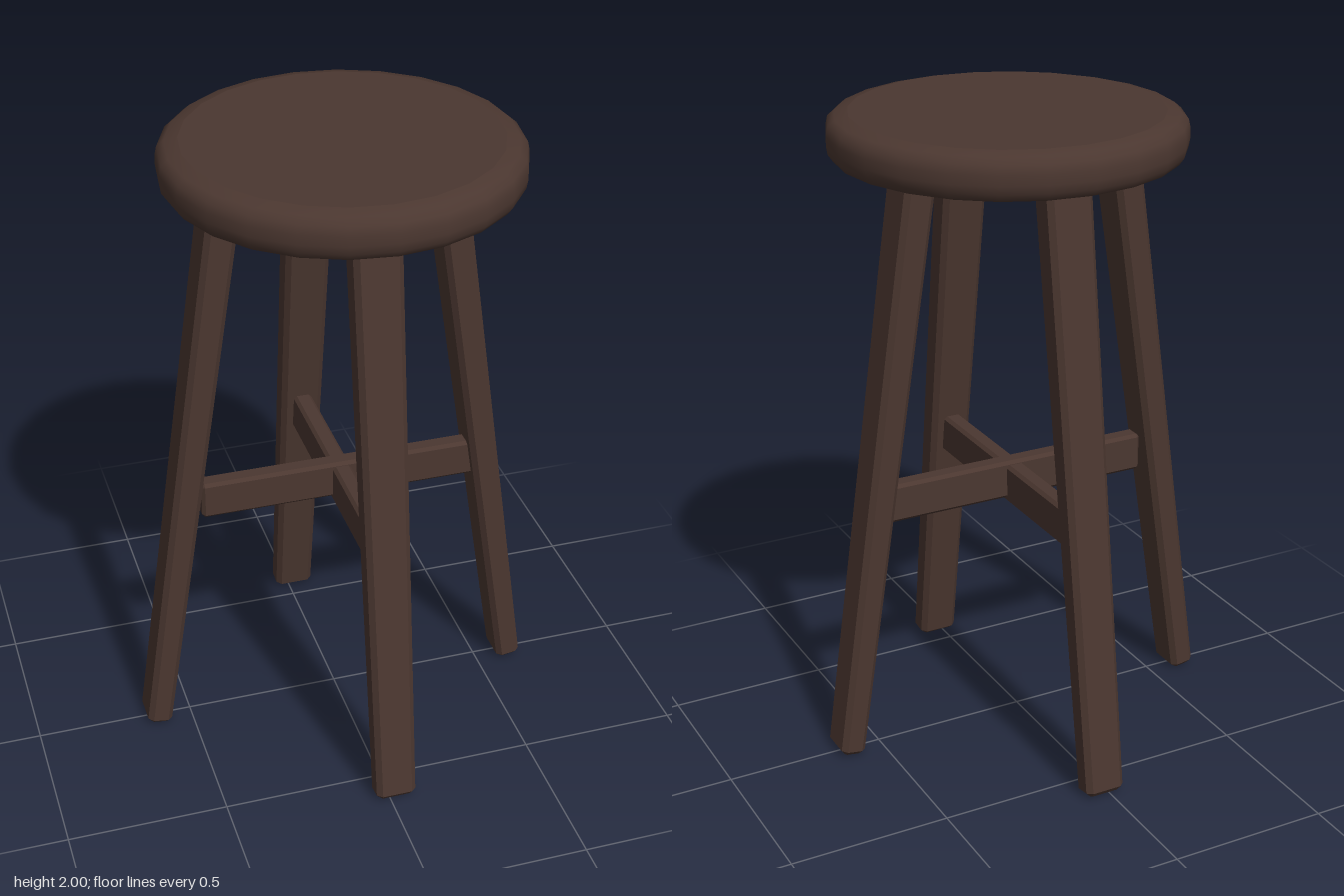
import * as THREE from 'three';

// Bar along +y with eight-sided chamfered section, tapering from w0 x d0 to w1 x d1
function chamferedBar(length, w0, d0, w1, d1, c) {
  const rings = [
    [0, w0 - 2 * c, d0 - 2 * c, c * 0.3],
    [c, w0, d0, c],
    [length - c, w1, d1, c],
    [length, w1 - 2 * c, d1 - 2 * c, c * 0.3],
  ];
  const pos = [];
  const index = [];
  for (const [y, w, d, k] of rings) {
    const a = w / 2, b = d / 2;
    const outline = [
      [a, b - k], [a - k, b], [-a + k, b], [-a, b - k],
      [-a, -b + k], [-a + k, -b], [a - k, -b], [a, -b + k],
    ];
    for (const [x, z] of outline) pos.push(x, y, z);
  }
  for (let r = 0; r < rings.length - 1; r++) {
    for (let i = 0; i < 8; i++) {
      const p = r * 8 + i, q = r * 8 + (i + 1) % 8;
      index.push(p, p + 8, q, q, p + 8, q + 8);
    }
  }
  const last = (rings.length - 1) * 8;
  for (let i = 1; i < 7; i++) {
    index.push(0, i, i + 1);
    index.push(last, last + i + 1, last + i);
  }
  const geo = new THREE.BufferGeometry();
  geo.setAttribute('position', new THREE.Float32BufferAttribute(pos, 3));
  geo.setIndex(index);
  const flat = geo.toNonIndexed();
  flat.computeVertexNormals();
  return flat;
}

export function createModel() {
  const model = new THREE.Group();
  model.name = 'stool';
  const wood = new THREE.MeshStandardMaterial({ color: 0x4b3730 });
  wood.name = 'dark brown wood';

  const add = (name, geo, x, y, z) => {
    const mesh = new THREE.Mesh(geo, wood);
    mesh.name = name;
    mesh.position.set(x, y, z);
    model.add(mesh);
    return mesh;
  };

  // Round seat: rounded rim between flat top and bottom discs
  const profile = [
    [0.492, 1.86], [0.518, 1.869], [0.533, 1.89], [0.537, 1.915],
    [0.537, 1.945], [0.531, 1.972], [0.51, 1.99], [0.47, 2.0],
  ].map(([r, y]) => new THREE.Vector2(r, y));
  const seat = new THREE.Group();
  seat.name = 'seat';
  seat.position.set(0.02, 0, 0.02);
  model.add(seat);
  const rim = new THREE.Mesh(new THREE.LatheGeometry(profile, 24), wood);
  rim.name = 'seatRim';
  seat.add(rim);
  for (const [name, r, y, tilt] of [['seatTop', 0.47, 2, -1], ['seatUnderside', 0.492, 1.86, 1]]) {
    const disc = new THREE.Mesh(new THREE.CircleGeometry(r, 24), wood);
    disc.name = name;
    disc.rotation.x = tilt * Math.PI / 2;
    disc.position.y = y;
    seat.add(disc);
  }

  // Four splayed legs, thicker toward the seat
  const lean = Math.atan(0.272 / 1.85);
  const legGeo = chamferedBar(1.91, 0.08, 0.127, 0.098, 0.148, 0.016);
  const legs = [
    ['leftLeg', 0.61, 0, 0],
    ['backLeg', 0.019, -0.59, Math.PI / 2],
    ['rightLeg', -0.612, 0, Math.PI],
    ['frontLeg', 0.019, 0.59, -Math.PI / 2],
  ];
  for (const [name, x, z, turn] of legs) {
    const leg = add(name, legGeo, x, 0.004, z);
    leg.rotation.set(0, turn, lean, 'YXZ');
  }

  // Two crossed stretchers joining opposite legs
  const sideBar = add('sideStretcher', chamferedBar(0.9, 0.123, 0.06, 0.123, 0.06, 0.01), 0.466, 0.828, 0);
  sideBar.rotation.z = Math.PI / 2;
  const longBar = add('frontBackStretcher', chamferedBar(0.9, 0.06, 0.127, 0.06, 0.127, 0.01), 0.019, 0.814, -0.45);
  longBar.rotation.x = Math.PI / 2;

  return model;
}
